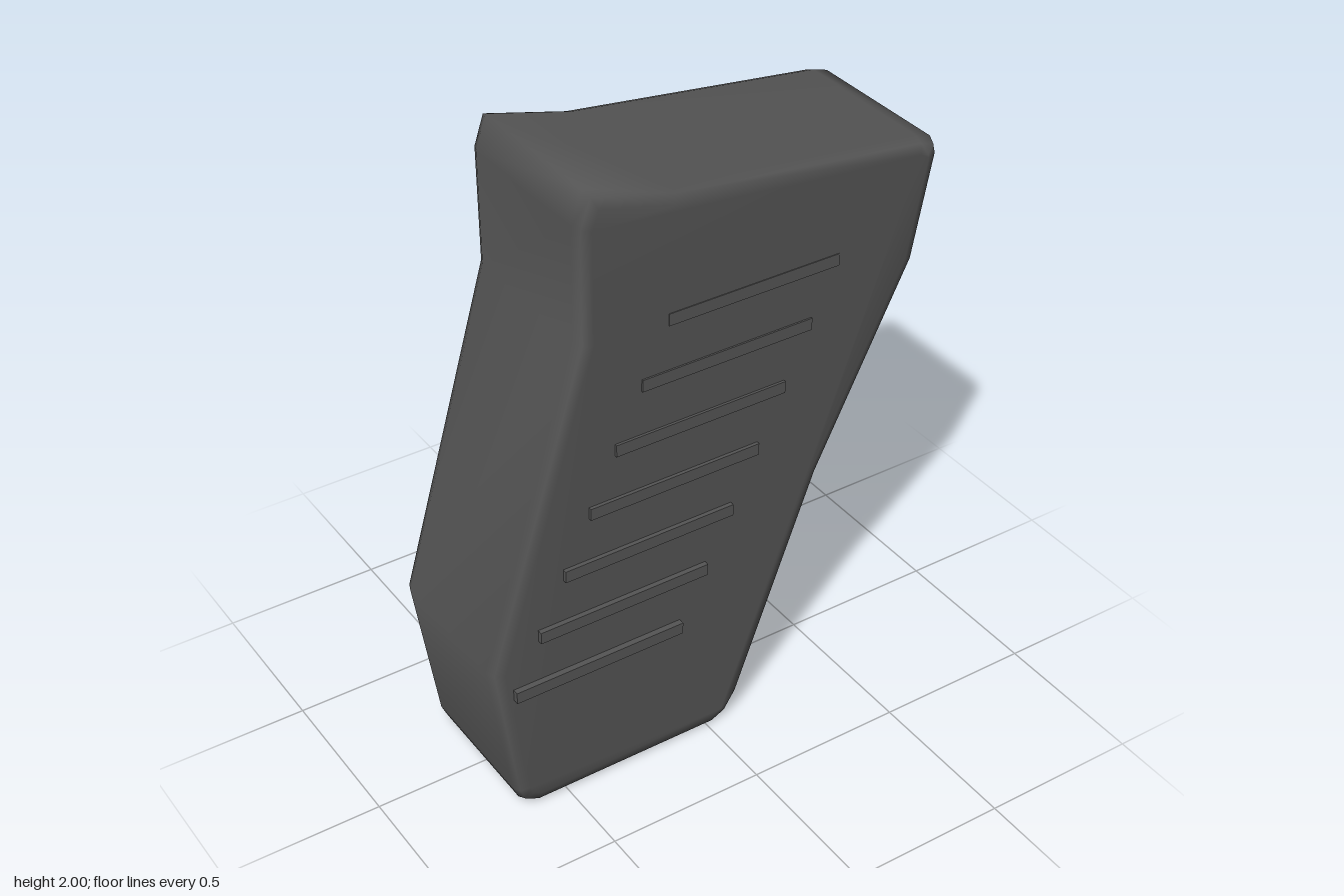
import * as THREE from 'three';
import { mergeVertices } from 'three/addons/utils/BufferGeometryUtils.js';

// Side outline of the grip, counter-clockwise
const OUTLINE = [
  [-0.60, 0], [0.02, 0], [0.07, 0.025], [0.11, 0.09], [0.37, 0.82], [0.67, 1.45],
  [0.73, 1.775], [0.72, 1.815], [0.67, 1.83], [-0.14, 1.93], [-0.405, 2.0],
  [-0.44, 1.9], [-0.44, 1.55], [-0.74, 0.55], [-0.67, 0.07], [-0.65, 0.025],
];
const BEVEL = 0.04;
const halfDepth = (y) => 0.25 + 0.015 * y;

// Rounded slab, slightly thinner towards the bottom
function gripGeometry() {
  const shape = new THREE.Shape(OUTLINE.map(([x, y]) => new THREE.Vector2(x, y)));
  let geo = new THREE.ExtrudeGeometry(shape, {
    depth: 2 - 2 * BEVEL, bevelEnabled: true, bevelThickness: BEVEL,
    bevelSize: BEVEL, bevelOffset: -BEVEL, bevelSegments: 2,
  });
  geo.translate(0, 0, BEVEL - 1);
  const p = geo.attributes.position;
  for (let i = 0; i < p.count; i++) {
    const z = p.getZ(i);
    const inset = 1 - Math.abs(z); // keep the bevel depth constant while tapering
    p.setZ(i, Math.sign(z) * (halfDepth(p.getY(i)) - inset));
  }
  geo.deleteAttribute('normal');
  geo.deleteAttribute('uv');
  geo = mergeVertices(geo, 1e-4);
  geo.computeVertexNormals();
  return geo;
}

export function createModel() {
  const model = new THREE.Group();
  model.name = 'grip';
  const darkGrey = new THREE.MeshStandardMaterial({ color: 0x555555 });
  darkGrey.name = 'dark grey';

  const body = new THREE.Mesh(gripGeometry(), darkGrey);
  body.name = 'gripBody';
  model.add(body);

  // Seven finger ribs per side, stepping up along the slant
  const ribGeo = new THREE.BoxGeometry(0.56, 0.038, 0.056);
  for (const side of [1, -1]) {
    const ribs = new THREE.Group();
    ribs.name = side > 0 ? 'frontRibs' : 'backRibs';
    for (let i = 0; i < 7; i++) {
      const rib = new THREE.Mesh(ribGeo, darkGrey);
      rib.name = 'rib';
      rib.position.set(-0.395 + 0.085 * i, 0.465 + 0.18 * i, side * 0.248);
      ribs.add(rib);
    }
    model.add(ribs);
  }
  return model;
}
